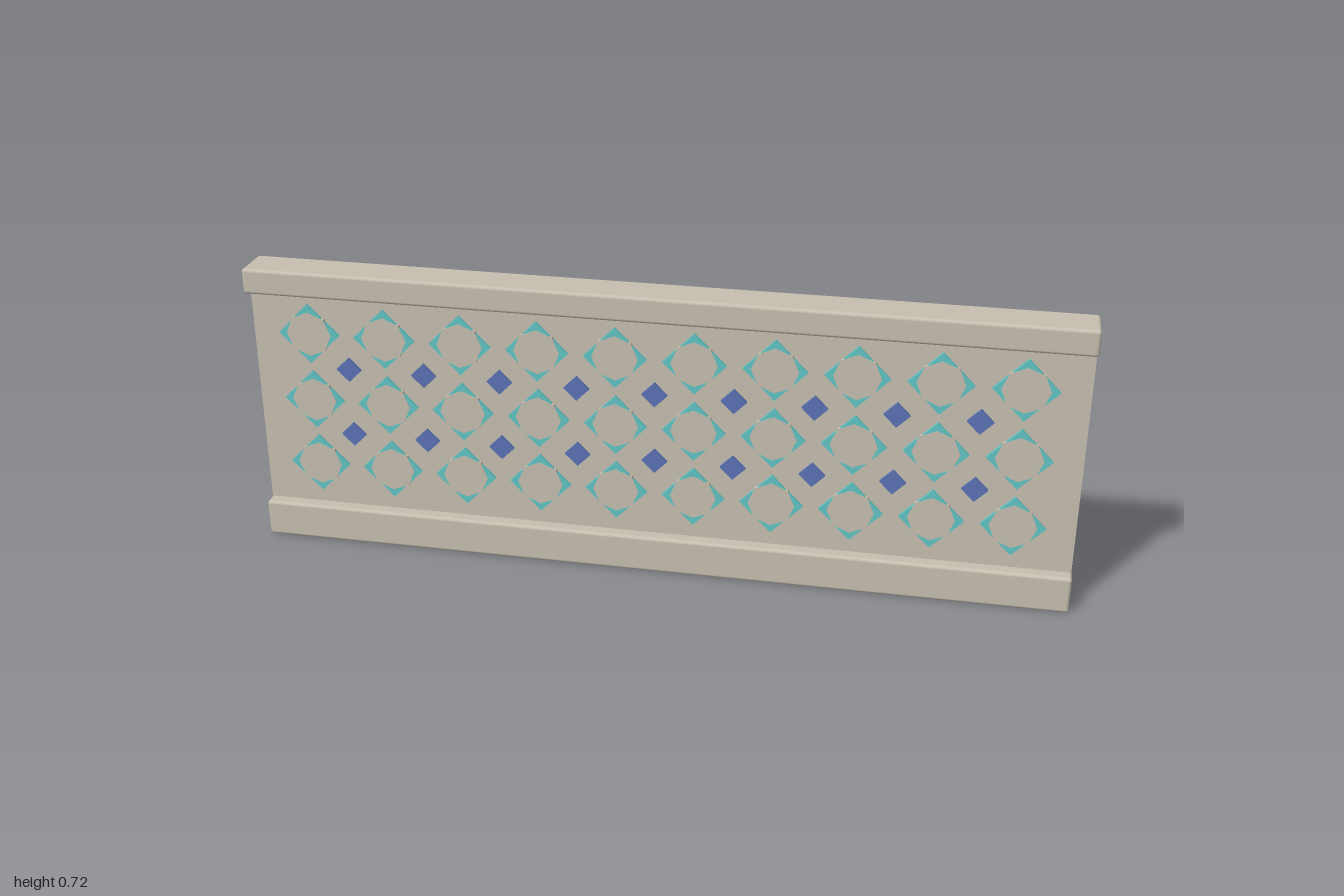
import * as THREE from 'three';
import { RoundedBoxGeometry } from 'three/addons/geometries/RoundedBoxGeometry.js';

export function createModel() {
  const model = new THREE.Group();
  model.name = 'tiledParapet';

  const stone = new THREE.MeshStandardMaterial({ color: 0xc6bfb0 });
  stone.name = 'stone';
  const teal = new THREE.MeshStandardMaterial({ color: 0x62c6c6 });
  teal.name = 'tealGlaze';
  const blue = new THREE.MeshStandardMaterial({ color: 0x5a72b4 });
  blue.name = 'blueGlaze';

  const add = (name, geometry, material, x, y, z, parent = model) => {
    const mesh = new THREE.Mesh(geometry, material);
    mesh.name = name;
    mesh.position.set(x, y, z);
    parent.add(mesh);
    return mesh;
  };

  // Wall slab between the two rounded rails
  add('wallPanel', new THREE.BoxGeometry(1.996, 0.68, 0.053), stone, 0, 0.342, -0.0125);
  add('topRail', new RoundedBoxGeometry(2, 0.063, 0.105, 3, 0.008), stone, 0, 0.6885, 0);
  add('bottomRail', new RoundedBoxGeometry(2, 0.093, 0.093, 3, 0.008), stone, 0, 0.0465, 0);

  // Square tile turned onto its corner
  const diamond = (radius) =>
    new THREE.BoxGeometry(radius * Math.SQRT2, radius * Math.SQRT2, 0.008).rotateZ(Math.PI / 4);
  const starGeometry = diamond(0.076);
  const smallGeometry = diamond(0.031);
  const centreGeometry = new THREE.CylinderGeometry(0.056, 0.056, 0.0095, 8).rotateX(Math.PI / 2).toNonIndexed();
  centreGeometry.computeVertexNormals();

  const pitch = 0.1895;
  const rows = [0.208, 0.3815, 0.555];

  // Large teal tiles with octagonal stone centres
  const tiles = new THREE.Group();
  tiles.name = 'tilePattern';
  model.add(tiles);
  for (const y of rows) {
    for (let i = 0; i < 10; i++) {
      const x = (i - 4.5) * pitch;
      add('tealTile', starGeometry, teal, x, y, 0.0245, tiles);
      add('tileCentre', centreGeometry, stone, x, y, 0.0245, tiles);
    }
  }

  // Small blue tiles in the gaps
  for (const y of [0.295, 0.468]) {
    for (let i = 0; i < 9; i++) {
      add('blueTile', smallGeometry, blue, (i - 4) * pitch, y, 0.0245, tiles);
    }
  }
  return model;
}
